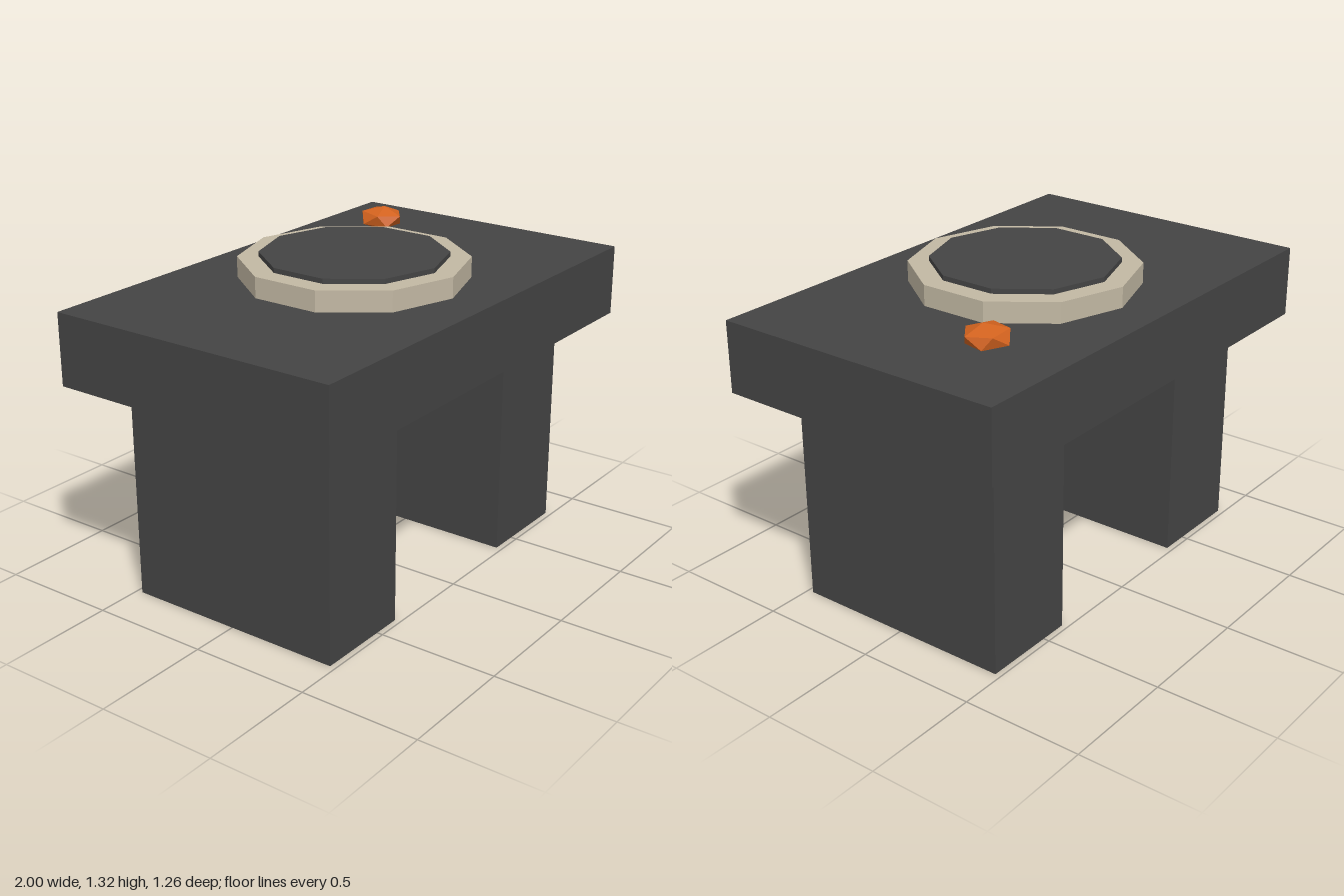
import * as THREE from 'three';

export function createModel() {
  const model = new THREE.Group();
  const material = (name, color) => {
    const m = new THREE.MeshStandardMaterial({ color, flatShading: true });
    m.name = name;
    return m;
  };
  const stone = material('dark stone', 0x444444);
  const pale = material('pale stone', 0xc2b8a3);
  const ember = material('ember orange', 0xd2621e);

  const add = (name, geometry, mat, x, y, z) => {
    const mesh = new THREE.Mesh(geometry, mat);
    mesh.name = name;
    mesh.position.set(x, y, z);
    model.add(mesh);
    return mesh;
  };

  // Two block legs carrying a thick slab
  for (const [side, name] of [[1, 'leftLeg'], [-1, 'rightLeg']]) {
    add(name, new THREE.BoxGeometry(0.42, 0.92, 0.95), stone, side * 0.59, 0.46, 0);
  }
  add('slab', new THREE.BoxGeometry(2, 0.295, 1.26), stone, 0, 1.0675, 0);

  // Ten-sided pale rim with a dark disc rising slightly above it
  add('rim', new THREE.CylinderGeometry(0.463, 0.463, 0.085, 10), pale, 0, 1.2575, 0);
  add('disc', new THREE.CylinderGeometry(0.378, 0.378, 0.1, 10), stone, 0, 1.27, 0);

  // Squashed faceted nugget, one point up and slightly tilted
  const nugget = new THREE.IcosahedronGeometry(0.1, 0);
  nugget.rotateZ(Math.atan(2 / (1 + Math.sqrt(5))));
  nugget.rotateY(0.35);
  nugget.rotateX(0.12);
  nugget.rotateZ(-0.1);
  nugget.scale(1, 0.5, 1);
  add('nugget', nugget, ember, 0.632, 1.271, -0.318);

  return model;
}
